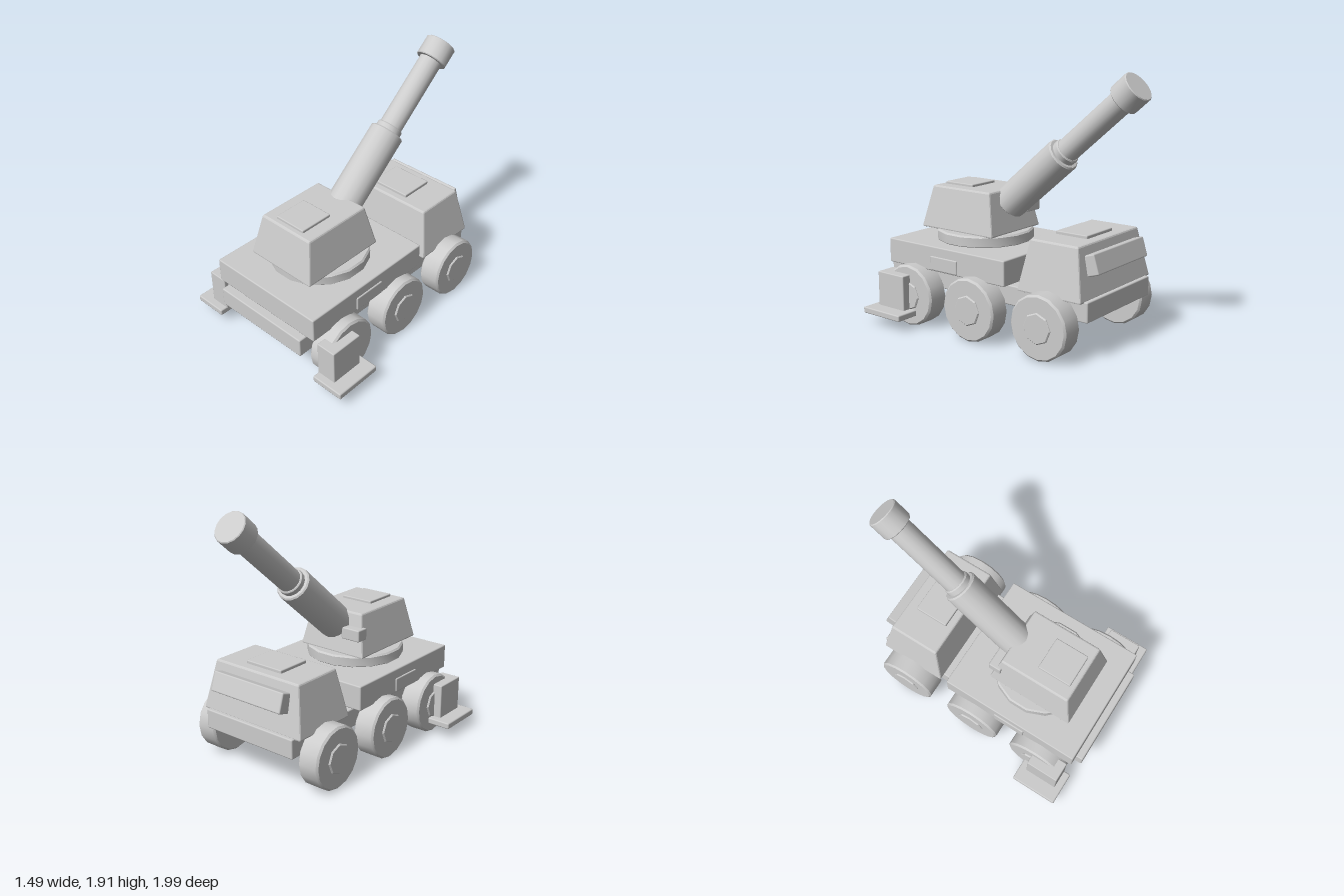
import * as THREE from 'three';
import { toCreasedNormals } from 'three/addons/utils/BufferGeometryUtils.js';
import { RoundedBoxGeometry } from 'three/addons/geometries/RoundedBoxGeometry.js';

export function createModel() {
  const model = new THREE.Group();
  model.name = 'artilleryTruck';
  const grey = new THREE.MeshStandardMaterial({ color: 0xcccccc });
  grey.name = 'plain grey';

  const add = (name, geometry, parent = model) => {
    const mesh = new THREE.Mesh(geometry, grey);
    mesh.name = name;
    parent.add(mesh);
    return mesh;
  };

  // Box with softened edges, given by its limits on each axis
  const box = (name, x0, x1, y0, y1, z0, z1, bevel = 0.01) => {
    const g = new RoundedBoxGeometry(x1 - x0, y1 - y0, z1 - z0, 1, bevel);
    const mesh = add(name, g);
    mesh.position.set((x0 + x1) / 2, (y0 + y1) / 2, (z0 + z1) / 2);
    return mesh;
  };

  // Softened box whose top is smaller than its base
  const taperedBox = (name, y0, y1, halfBase, halfTop, baseZ, topZ) => {
    const g = new RoundedBoxGeometry(2, y1 - y0, 2, 1, 0.012);
    const p = g.attributes.position;
    for (let i = 0; i < p.count; i++) {
      const t = p.getY(i) / (y1 - y0) + 0.5;
      const mix = THREE.MathUtils.lerp;
      const back = mix(baseZ[0], topZ[0], t), front = mix(baseZ[1], topZ[1], t);
      const half = mix(halfBase, halfTop, t);
      // keep the bevel width while shrinking the unit square
      const place = (v, h) => Math.sign(v) * (h - (1 - Math.abs(v)));
      p.setX(i, place(p.getX(i), half));
      p.setZ(i, (back + front) / 2 + place(p.getZ(i), (front - back) / 2));
      p.setY(i, p.getY(i) + (y0 + y1) / 2);
    }
    g.computeVertexNormals();
    return add(name, g);
  };

  // Closed disc along y with bevelled rims
  const disc = (radius, y0, y1, bevel, sides, turn = 0) => {
    const profile = [
      [0, y0], [radius - bevel, y0], [radius, y0 + bevel],
      [radius, y1 - bevel], [radius - bevel, y1], [0, y1],
    ].map(([x, y]) => new THREE.Vector2(x, y));
    return toCreasedNormals(new THREE.LatheGeometry(profile, sides, turn), 0.5);
  };

  // Hull
  box('chassis', -0.4, 0.4, 0.285, 0.43, -0.81, 1.0);
  box('deck', -0.48, 0.48, 0.435, 0.622, -0.17, 0.945);

  // Cab with roof hatch and tilted rear bar
  taperedBox('cab', 0.42, 0.787, 0.45, 0.38, [-0.785, -0.255], [-0.715, -0.32]);
  box('cabHatch', -0.16, 0.16, 0.775, 0.81, -0.64, -0.375, 0.008);
  const bar = add('rearBar', new RoundedBoxGeometry(0.64, 0.145, 0.1, 1, 0.01));
  bar.position.set(0, 0.657, -0.772);
  bar.rotation.x = 0.3;

  // Turret
  add('turretRing', disc(0.37, 0.615, 0.705, 0.012, 16, Math.PI / 16)).position.z = 0.395;
  taperedBox('turret', 0.7, 1.02, 0.29, 0.23, [0.097, 0.785], [0.165, 0.715]);
  box('turretHatch', -0.13, 0.13, 1.005, 1.04, 0.41, 0.675, 0.008);
  box('turretRearBox', -0.27, -0.11, 0.83, 0.92, 0.08, 0.18);

  // Gun, built along +y from its breech and tilted towards the rear
  const gun = new THREE.Group();
  gun.name = 'gun';
  gun.position.set(0, 0.915, 0.155);
  gun.rotation.x = -THREE.MathUtils.degToRad(49.8);
  model.add(gun);
  add('gunSleeve', disc(0.13, 0, 0.635, 0.01, 16), gun);
  add('gunCollar', disc(0.1, 0.6, 0.68, 0.008, 16), gun);
  add('gunBarrel', disc(0.088, 0.6, 1.3, 0.005, 16), gun);
  add('gunMuzzle', disc(0.119, 1.255, 1.407, 0.006, 16), gun);

  // Running gear and fittings on both sides
  const tyre = disc(0.232, 0, 0.17, 0.014, 16);
  const hub = disc(0.112, 0, 0.182, 0.008, 8);
  for (const side of [1, -1]) {
    const label = side > 0 ? 'left' : 'right';
    const sideBox = (name, x0, x1, ...rest) =>
      box(label + name, Math.min(side * x0, side * x1), Math.max(side * x0, side * x1), ...rest);

    [0.678, 0.094, -0.52].forEach((z, i) => {
      const wheel = new THREE.Group();
      wheel.name = `${label}Wheel${i + 1}`;
      wheel.position.set(side * 0.396, 0.237, z);
      wheel.rotation.z = -side * Math.PI / 2;
      add('tyre', tyre, wheel);
      add('hub', hub, wheel);
      model.add(wheel);
    });

    sideBox('DeckPanel', 0.45, 0.49, 0.445, 0.55, 0.26, 0.52, 0.008);
    sideBox('SupportLeg', 0.48, 0.637, 0.125, 0.4, 0.655, 0.915, 0.008);
    sideBox('SupportFoot', 0.485, 0.745, 0.09, 0.138, 0.6, 0.97);
  }
  return model;
}
